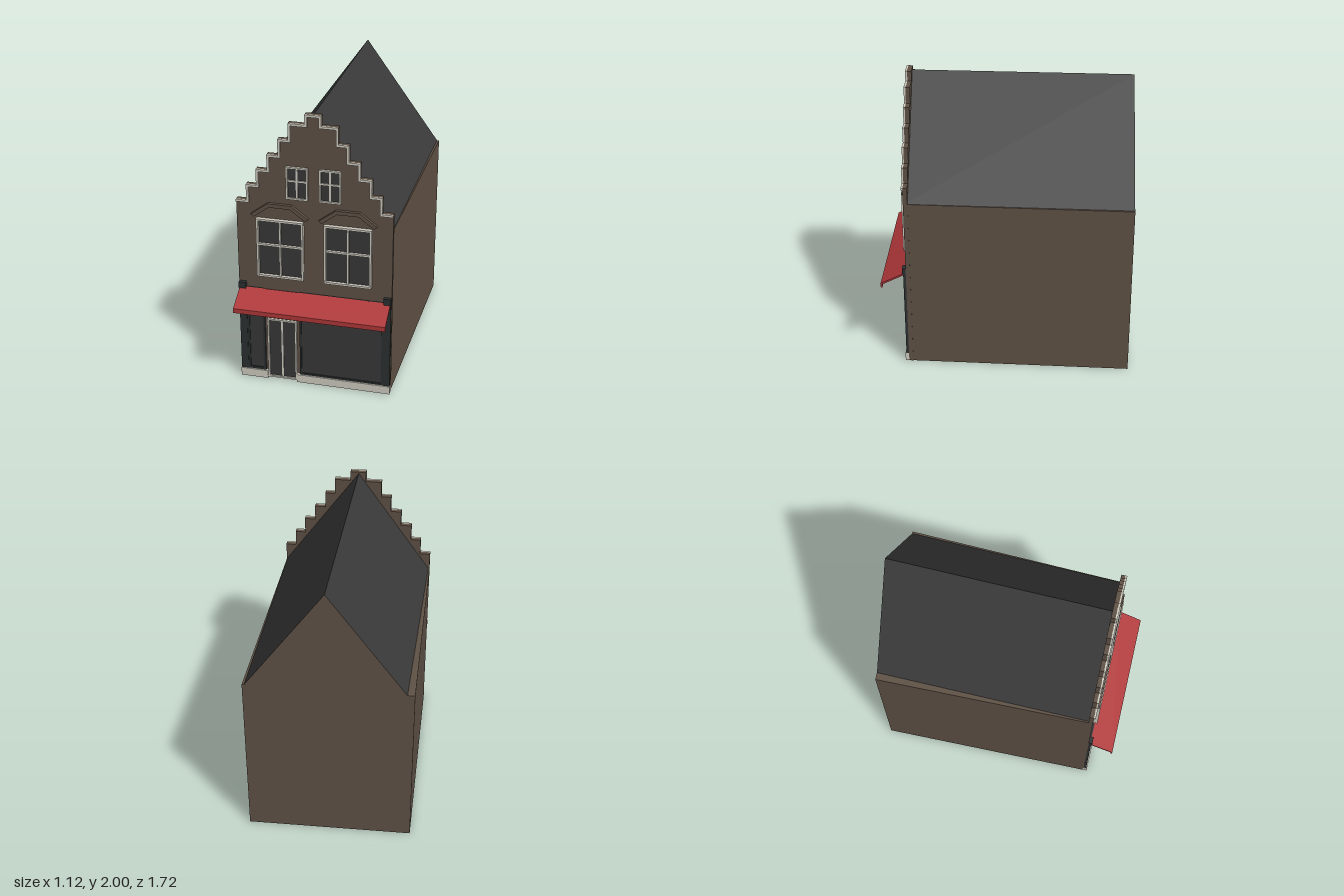
import * as THREE from 'three';

const mat = (name, color, side = THREE.FrontSide) => {
  const m = new THREE.MeshStandardMaterial({ color, side });
  m.name = name;
  return m;
};

export function createModel() {
  const brick = mat('brick', 0x5f5145);
  const roofMat = mat('roof slate', 0x3a3a3a);
  const glass = mat('glass', 0x38383a);
  const trim = mat('pale trim', 0xd2cec2);
  const dark = mat('dark woodwork', 0x2d3131);
  const red = mat('awning red', 0xb0383a);

  const model = new THREE.Group();
  const facade = new THREE.Group();
  facade.name = 'facade';
  facade.rotation.y = 0.006;
  model.add(facade);

  const Z = 0.68; // front plane of the facade

  // Flat-shaded surface from convex polygons
  const addFaces = (name, material, polygons) => {
    const pos = [];
    for (const p of polygons)
      for (let i = 1; i < p.length - 1; i++) pos.push(...p[0], ...p[i], ...p[i + 1]);
    const g = new THREE.BufferGeometry();
    g.setAttribute('position', new THREE.Float32BufferAttribute(pos, 3));
    g.computeVertexNormals();
    const mesh = new THREE.Mesh(g, material);
    mesh.name = name;
    model.add(mesh);
  };

  // Box given by its extents in x, y and z
  const box = (parent, name, material, x0, x1, y0, y1, z0, z1) => {
    const mesh = new THREE.Mesh(new THREE.BoxGeometry(x1 - x0, y1 - y0, z1 - z0), material);
    mesh.position.set((x0 + x1) / 2, (y0 + y1) / 2, (z0 + z1) / 2);
    mesh.name = name;
    parent.add(mesh);
  };

  // Outline extruded along z
  const plate = (name, material, points, z0, depth) => {
    const shape = new THREE.Shape(points.map(([x, y]) => new THREE.Vector2(x, y)));
    const mesh = new THREE.Mesh(
      new THREE.ExtrudeGeometry(shape, { depth, bevelEnabled: false }), material);
    mesh.position.z = z0;
    mesh.name = name;
    facade.add(mesh);
  };

  // Framed window with optional mullions (xs) and transoms (ys)
  const windowUnit = (name, frame, x0, x1, y0, y1, zf, w, xs = [], ys = []) => {
    const g = new THREE.Group();
    g.name = name;
    facade.add(g);
    box(g, 'pane', glass, x0 + w / 2, x1 - w / 2, y0 + w / 2, y1 - w / 2, Z - 0.002, Z + 0.006);
    for (const x of [x0, x1 - w]) box(g, 'frameSide', frame, x, x + w, y0, y1, Z - 0.004, zf);
    for (const y of [y0, y1 - w]) box(g, 'frameRail', frame, x0 + w, x1 - w, y, y + w, Z - 0.004, zf);
    for (const x of xs) box(g, 'mullion', frame, x - 0.006, x + 0.006, y0 + w, y1 - w, Z, zf - 0.006);
    for (const y of ys) box(g, 'transom', frame, x0 + w, x1 - w, y - 0.007, y + 0.007, Z, zf - 0.004);
  };

  // House body on a slightly skewed footprint
  const E = 1.24, R = 1.99, F = 0.668;
  const backZ = x => -0.82 - 0.04 * (x + 0.565) / 1.125;
  const fl = y => [-0.524, y, F], fr = y => [0.528, y, F];
  const bl = y => [-0.565, y, backZ(-0.565)], br = y => [0.56, y, backZ(0.56)];
  const eaveFL = [-0.515, E, F], eaveFR = [0.525, E, F];
  const eaveBL = [-0.515, E, backZ(-0.515)], eaveBR = [0.545, E, backZ(0.545)];
  const ridgeF = [0, R, F - 0.01], ridgeB = [0.013, R, backZ(0.013)];
  addFaces('houseBody', brick, [
    [fl(0), fr(0), fr(E), fl(E)],
    [bl(0), fl(0), fl(E), bl(E)],
    [fr(0), br(0), br(E), fr(E)],
    [br(0), bl(0), bl(E), br(E)],
    [eaveBR, eaveBL, ridgeB],
    [bl(0), br(0), fr(0), fl(0)],
    [fl(E), eaveFL, eaveBL, bl(E)],
    [eaveFR, fr(E), br(E), eaveBR],
  ]);
  addFaces('roof', roofMat, [
    [eaveBL, eaveFL, ridgeF, ridgeB],
    [eaveFR, eaveBR, ridgeB, ridgeF],
  ]);

  // Stepped gable wall: [half width, top height] of each step
  const steps = [[0.055, 2], [0.165, 1.93], [0.235, 1.815], [0.31, 1.7],
    [0.385, 1.59], [0.455, 1.475], [0.527, 1.36]];
  const half = [];
  steps.forEach(([x, y], i) => {
    half.push([x, y], [x, i < 6 ? steps[i + 1][1] : 0]);
  });
  const mirrored = half.map(([x, y]) => [-x, y]).reverse();
  plate('steppedGable', brick, [...half, ...mirrored], 0.65, 0.03);

  // Pale coping following the steps
  const t = 0.016;
  steps.forEach(([x, y], i) => {
    const inner = i ? steps[i - 1][0] - t : 0;
    const low = i < 6 ? steps[i + 1][1] : y - t;
    for (const s of [-1, 1]) {
      const span = (a, b) => (s > 0 ? [a, b] : [-b, -a]);
      box(facade, 'copingTop', trim, ...span(inner, x), y - t, y, Z - 0.002, Z + 0.012);
      if (i < 6) box(facade, 'copingSide', trim, ...span(x - t, x), low, y - t, Z - 0.002, Z + 0.012);
    }
  });

  // Upper windows, with an angular hood over each large one
  for (const s of [-1, 1]) {
    const c = s * 0.23;
    windowUnit('mainWindow', trim, c - 0.16, c + 0.16, 0.81, 1.24, Z + 0.028, 0.014, [c], [1.05]);
    const a = s * 0.111;
    windowUnit('atticWindow', trim, a - 0.073, a + 0.073, 1.4, 1.63, Z + 0.018, 0.012, [a], [1.53]);
    plate('windowHood', brick, [[-0.195, 1.268], [-0.175, 1.25], [-0.072, 1.328], [0.072, 1.328],
      [0.175, 1.25], [0.195, 1.268], [0.08, 1.355], [-0.08, 1.355]]
      .map(([x, y]) => [x + c, y]), Z - 0.002, 0.024);
  }

  // Shop front
  windowUnit('sideShopWindow', dark, -0.476, -0.35, 0.06, 0.706, Z + 0.014, 0.016);
  windowUnit('mainShopWindow', dark, -0.106, 0.476, 0.06, 0.706, Z + 0.014, 0.012);
  windowUnit('doorLight', trim, -0.333, -0.128, 0.488, 0.588, Z + 0.018, 0.012);
  windowUnit('door', trim, -0.333, -0.128, 0.01, 0.478, Z + 0.018, 0.012, [-0.23]);
  for (const s of [-1, 1]) {
    const x = s * 0.5;
    box(facade, 'pilaster', dark, x - 0.025, x + 0.025, 0.06, 0.7, Z - 0.002, Z + 0.018);
    box(facade, 'pilasterCap', dark, x - 0.025, x + 0.025, 0.7, 0.746, Z - 0.002, Z + 0.025);
  }
  box(facade, 'plinthRight', trim, -0.527, -0.334, 0, 0.06, Z - 0.01, Z + 0.025);
  box(facade, 'plinthLeft', trim, -0.127, 0.527, 0, 0.06, Z - 0.01, Z + 0.025);

  // Awning: thin sloping sheet with a short valance, swept along x
  const section = new THREE.Shape([[0.69, 0.708], [0.69, 0.696], [0.846, 0.616], [0.846, 0.59],
    [0.857, 0.59], [0.857, 0.624]].map(([z, y]) => new THREE.Vector2(-z, y)));
  const awning = new THREE.Mesh(
    new THREE.ExtrudeGeometry(section, { depth: 1.04, bevelEnabled: false }), red);
  awning.rotation.y = Math.PI / 2;
  awning.position.x = -0.52;
  awning.name = 'awning';
  facade.add(awning);

  return model;
}
